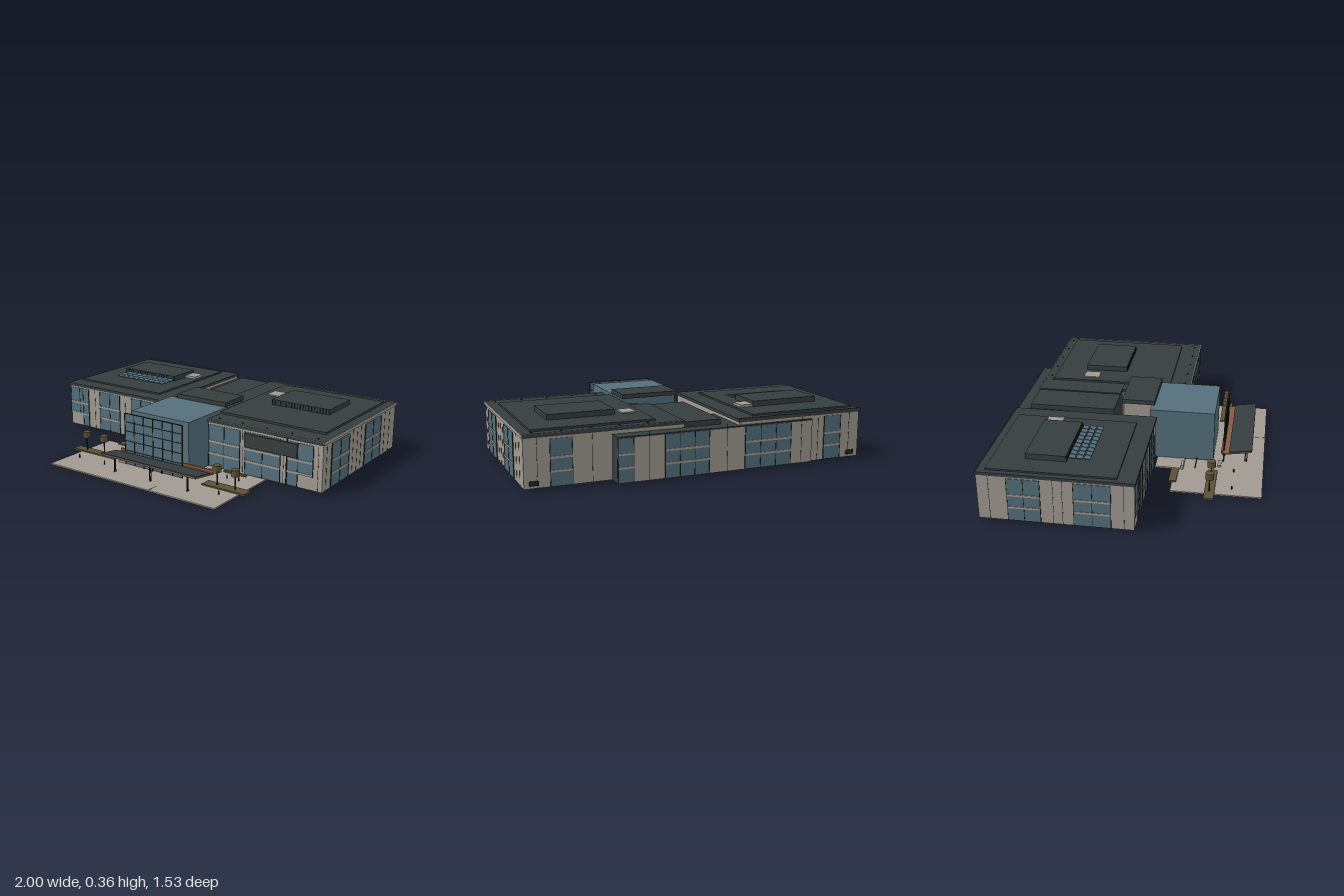
import * as THREE from 'three';

const mat = (name, color) => new THREE.MeshStandardMaterial({ name, color });

export function createModel() {
  const root = new THREE.Group();
  root.name = 'officeBuilding';
  const wall = mat('stoneWall', 0xa09a91);
  const glass = mat('blueGlass', 0x546f7c);
  const dark = mat('darkRoof', 0x363d3e);
  const frame = mat('blackFrame', 0x1f2526);
  const wood = mat('orangeWood', 0x85573f);
  const brown = mat('planterBrown', 0x5c5036);

  // Box given by its minimum and maximum on each axis
  function box(name, m, x0, x1, y0, y1, z0, z1, parent = root) {
    const mesh = new THREE.Mesh(new THREE.BoxGeometry(x1 - x0, y1 - y0, z1 - z0), m);
    mesh.position.set((x0 + x1) / 2, (y0 + y1) / 2, (z0 + z1) / 2);
    mesh.name = name;
    parent.add(mesh);
    return mesh;
  }
  function cylinder(name, m, r, x, y0, y1, z, sides = 16) {
    const mesh = new THREE.Mesh(new THREE.CylinderGeometry(r, r, y1 - y0, sides), m);
    mesh.position.set(x, (y0 + y1) / 2, z);
    mesh.name = name;
    root.add(mesh);
  }

  // Window bays on a wall: u runs along the wall, local z points outwards
  function facade(name, pos, rotY, bays, joints = [], top = 0.272) {
    const g = new THREE.Group();
    g.name = name;
    g.position.set(...pos);
    g.rotation.y = rotY;
    for (const [a, b, low = 0.017] of bays) {
      box('windowGlass', glass, a, b, low, top, -0.002, 0.003, g);
      const n = Math.max(1, Math.round((b - a) / 0.1));
      for (let i = 0; i <= n; i++) {
        const u = a + (b - a) * i / n;
        box('mullion', frame, u - 0.0015, u + 0.0015, low, top, 0, 0.005, g);
      }
      for (const y of [0.098, 0.172]) box('spandrel', wall, a, b, y - 0.006, y + 0.006, 0, 0.006, g);
    }
    for (const u of joints) box('panelJoint', frame, u - 0.001, u + 0.001, 0.017, 0.285, -0.002, 0.001, g);
    root.add(g);
  }

  // West wing
  box('westWing', wall, -0.995, -0.21, 0.015, 0.285, -0.745, 0.105);
  box('westFloor', frame, -0.99, -0.215, 0.012, 0.0155, -0.74, 0.1);
  box('westRoof', dark, -1, -0.205, 0.282, 0.3, -0.75, 0.112);
  box('westRoofStep', dark, -0.97, -0.315, 0.3, 0.31, -0.7, 0.01);

  // East wing, narrower towards the front
  box('eastWing', wall, 0.245, 0.993, 0.015, 0.287, -0.68, 0.262);
  box('eastWingInner', wall, 0.095, 0.25, 0.015, 0.285, -0.68, -0.165);
  box('eastRoof', dark, 0.242, 0.998, 0.285, 0.303, -0.685, 0.268);
  box('eastRoofInner', dark, 0.09, 0.242, 0.284, 0.302, -0.685, -0.16);
  box('eastRoofLedge', dark, 0.155, 0.245, 0.284, 0.3, -0.16, -0.12);
  box('eastRoofStep', dark, 0.24, 0.94, 0.303, 0.315, -0.625, 0.135);

  // Parapet rim on the outer roof edges
  box('parapetTrim', wall, 0.995, 1, 0.287, 0.306, -0.685, 0.268);
  box('parapetTrim', wall, 0.242, 1, 0.303, 0.306, 0.263, 0.268);
  box('parapetTrim', wall, 0.12, 1, 0.303, 0.306, -0.685, -0.681);
  box('parapetTrim', dark, -1, -0.205, 0.3, 0.304, -0.75, -0.744);

  // Rear link and middle block
  box('rearLink', dark, -0.67, 0.51, 0.015, 0.265, -0.76, -0.42);
  box('rearWall', wall, -0.669, 0.509, 0.015, 0.258, -0.763, -0.759);
  box('middleBlock', dark, -0.13, 0.16, 0.015, 0.295, -0.68, -0.16);

  // Rooftop plant with louvres
  function plantRoom(name, x0, x1, y0, y1, z0, z1) {
    box(name, dark, x0, x1, y0, y1, z0, z1);
    for (let i = 0; i <= 20; i++) {
      const x = x0 + 0.004 + (x1 - x0 - 0.008) * i / 20;
      box('louvre', frame, x - 0.002, x + 0.002, y0 + 0.003, y1 - 0.003, z1, z1 + 0.004);
    }
  }
  plantRoom('westPlantRoom', -0.84, -0.42, 0.308, 0.342, -0.515, -0.29);
  plantRoom('eastPlantRoom', 0.41, 0.8, 0.312, 0.346, -0.44, -0.175);
  box('roofHatch', wall, -0.42, -0.34, 0.308, 0.324, -0.51, -0.415);
  box('roofHatch', wall, 0.28, 0.365, 0.312, 0.322, -0.435, -0.335);
  // Solar panels
  for (let r = 0; r < 3; r++) for (let c = 0; c < 9; c++) {
    const x = -0.81 + c * 0.044, z = -0.283 + r * 0.042;
    const panel = box('solarPanel', glass, x, x + 0.038, 0.317, 0.321, z, z + 0.034);
    panel.rotation.x = 0.15;
  }
  // Roof vents
  for (const x of [0.3, 0.46, 0.62, 0.78, 0.94]) for (const z of [-0.655, 0.225])
    cylinder('roofVent', frame, 0.005, x, 0.3, 0.308, z, 8);

  // Wall openings
  facade('westFront', [0, 0, 0.105], 0,
    [[-0.993, -0.835, 0.09], [-0.885, -0.835], [-0.735, -0.565], [-0.465, -0.31]], [-0.78, -0.52, -0.26]);
  facade('eastFront', [0, 0, 0.262], 0,
    [[0.25, 0.465], [0.5, 0.73], [0.775, 0.84], [0.84, 0.935, 0.092]], [0.482, 0.75, 0.965]);
  facade('eastSide', [0.993, 0, 0], Math.PI / 2,
    [[-0.165, 0.047], [0.255, 0.47]], [-0.22, 0.1, 0.155, 0.205, 0.53, 0.6]);
  facade('westSide', [-0.995, 0, 0], -Math.PI / 2,
    [[-0.58, -0.4], [-0.22, -0.02]], [-0.68, -0.33, -0.28, 0.05]);
  facade('rearLinkWindows', [0, 0, -0.763], Math.PI,
    [[-0.508, -0.42], [-0.24, 0.02], [0.24, 0.53]], [-0.33, 0.13, 0.6], 0.258);
  facade('eastRear', [0, 0, -0.68], Math.PI, [[-0.85, -0.73]], [-0.92, -0.62]);
  facade('westRear', [0, 0, -0.745], Math.PI, [[0.76, 0.87]], [0.72, 0.93]);
  for (const [x, z] of [[0.94, -0.684], [-0.94, -0.749]])
    box('serviceVent', frame, x - 0.025, x + 0.025, 0.03, 0.055, z - 0.003, z + 0.004);

  // Sunshade on the east front
  box('sunshade', dark, 0.5, 0.84, 0.185, 0.265, 0.262, 0.276);
  cylinder('downpipe', frame, 0.004, 0.773, 0.015, 0.285, 0.267, 8);

  // Glass lobby with raised roof behind
  box('lobby', glass, -0.17, 0.245, 0.015, 0.327, 0.065, 0.455);
  box('raisedRoof', dark, -0.11, 0.245, 0.33, 0.356, -0.115, 0.085);
  // Curtain wall standing in front of the lobby
  box('curtainWall', glass, -0.17, 0.245, 0.015, 0.327, 0.514, 0.518);
  for (let i = 0; i <= 6; i++) {
    const x = -0.17 + 0.415 * i / 6;
    box('curtainMullion', frame, x - 0.002, x + 0.002, 0.015, 0.327, 0.512, 0.521);
  }
  for (const y of [0.1, 0.16, 0.22, 0.275, 0.326])
    box('curtainTransom', frame, -0.17, 0.245, y - 0.002, y + 0.002, 0.512, 0.521);
  for (const x of [-0.03, 0.035, 0.1]) box('doorFrame', frame, x - 0.002, x + 0.002, 0.012, 0.062, 0.518, 0.524);
  box('doorHead', frame, -0.03, 0.1, 0.06, 0.064, 0.518, 0.524);

  // Entrance canopy, rising to the front
  const canopy = new THREE.Group();
  canopy.name = 'entranceCanopy';
  canopy.position.set(0, 0.1, 0.595);
  canopy.rotation.x = -0.15;
  box('canopySoffit', wood, -0.21, 0.455, -0.007, 0.001, -0.09, 0.088, canopy);
  box('canopyRoof', dark, -0.212, 0.457, 0.001, 0.008, -0.045, 0.092, canopy);
  root.add(canopy);
  box('canopyBeam', wood, -0.21, 0.48, 0.088, 0.104, 0.502, 0.512);
  for (const x of [-0.14, 0.12, 0.38]) for (const z of [0.645, 0.655])
    cylinder('canopyPost', frame, 0.003, x, 0.01, 0.098, z, 8);

  // Forecourt
  box('forecourt', wall, -0.55, 0.63, 0, 0.008, 0.235, 0.758);
  box('sidePath', wall, -0.29, -0.165, 0.004, 0.014, 0.115, 0.285);
  box('pavingJoint', frame, 0.19, 0.193, 0.007, 0.0085, 0.685, 0.758);
  box('lowWall', wall, -0.295, -0.235, 0.008, 0.035, 0.27, 0.285);
  box('bench', wall, -0.235, -0.17, 0.008, 0.02, 0.485, 0.505);
  box('bench', wall, 0.285, 0.33, 0.008, 0.02, 0.305, 0.4);
  box('handrail', frame, -0.29, -0.17, 0.022, 0.026, 0.352, 0.358);
  for (const [x0, x1, z0, z1] of [[-0.615, -0.285, 0.432, 0.49], [0.385, 0.665, 0.457, 0.525],
    [-0.45, -0.29, 0.215, 0.26], [0.37, 0.52, 0.268, 0.285]])
    box('plantingBed', brown, x0, x1, 0.004, 0.016, z0, z1);
  // Trees
  for (const [x, z] of [[-0.53, 0.46], [-0.39, 0.46], [0.465, 0.491], [0.585, 0.491]]) {
    cylinder('treeTrunk', frame, 0.004, x, 0.01, 0.1, z, 8);
    cylinder('treeCrown', brown, 0.025, x, 0.095, 0.132, z);
  }
  // Ground lights
  for (const [x, z] of [[-0.48, 0.585], [-0.28, 0.585], [0.54, 0.585], [0.44, 0.355], [0.52, 0.355]])
    cylinder('bollard', frame, 0.004, x, 0.008, 0.028, z, 8);

  return root;
}
